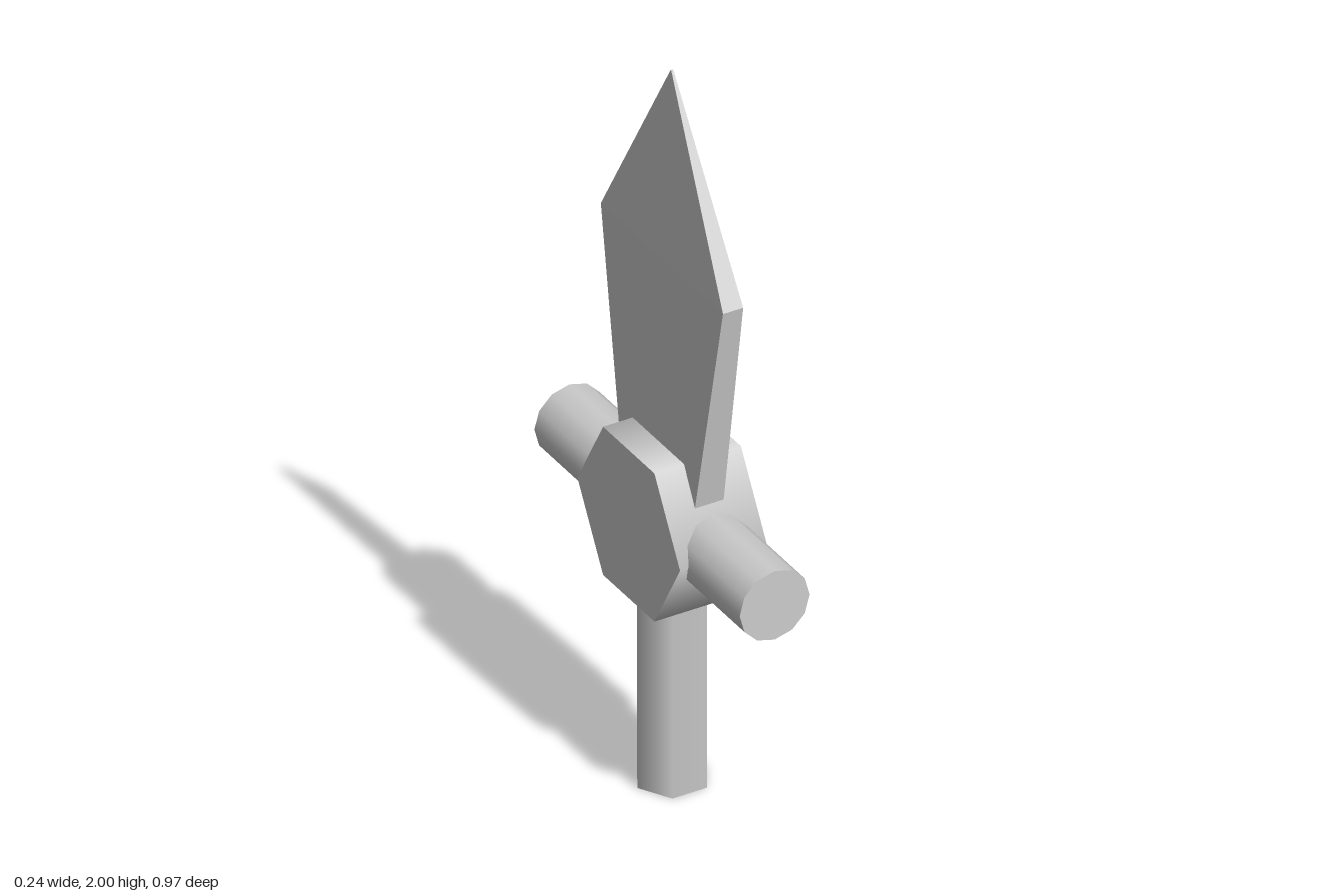
import * as THREE from 'three';

export function createModel() {
  const model = new THREE.Group();
  const material = new THREE.MeshStandardMaterial({ color: 0xcccccc });
  const add = (name, geometry, y) => {
    const mesh = new THREE.Mesh(geometry, material);
    mesh.name = name;
    mesh.position.y = y;
    model.add(mesh);
  };

  // Six-sided grip, corners on the x axis
  add('grip', new THREE.CylinderGeometry(0.096, 0.096, 0.65, 6).rotateY(Math.PI / 2), 0.325);

  // Hexagonal hub lying along x, corners pointing to front and back
  add('hub', new THREE.CylinderGeometry(0.242, 0.242, 0.24, 6).rotateZ(Math.PI / 2), 0.754);

  // Crossguard bar running front to back
  add('crossguard', new THREE.CylinderGeometry(0.097, 0.097, 0.968, 12).rotateX(Math.PI / 2), 0.75);

  // Blade: a box whose three levels are the root, the widest point and the tip
  const levels = [
    { y: 0.75, x: 0.042, z: 0.154 },
    { y: 1.476, x: 0.028, z: 0.288 },
    { y: 2, x: 0.003, z: 0.002 },
  ];
  const box = new THREE.BoxGeometry(2, 2, 2, 1, 2, 1);
  const p = box.attributes.position;
  for (let i = 0; i < p.count; i++) {
    const level = levels[Math.round(p.getY(i)) + 1];
    p.setXYZ(i, p.getX(i) * level.x, level.y, p.getZ(i) * level.z);
  }
  const blade = box.toNonIndexed();
  blade.computeVertexNormals();
  add('blade', blade, 0);

  return model;
}
